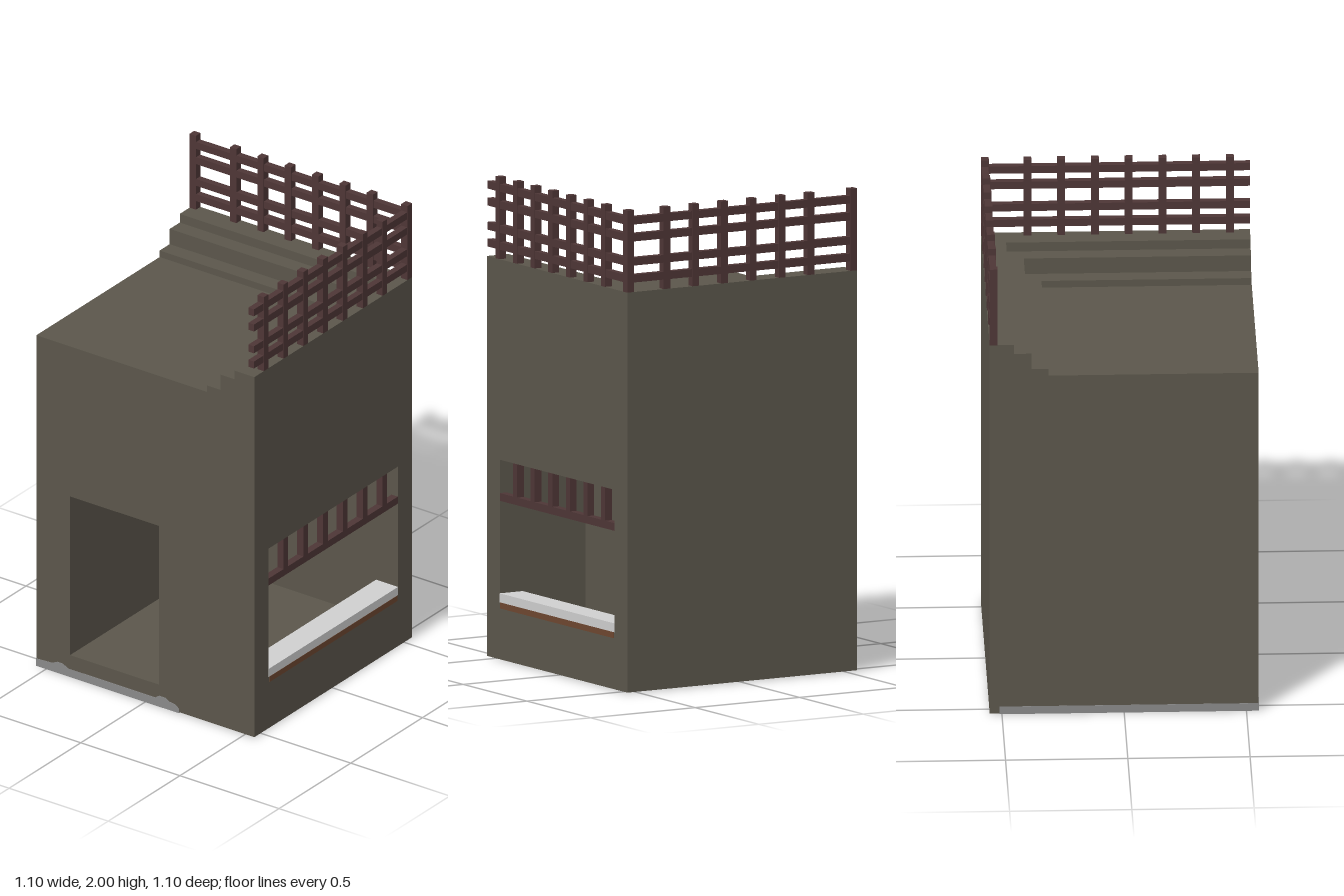
import * as THREE from 'three';

const mat = (name, color) => Object.assign(new THREE.MeshStandardMaterial({ color }), { name });

export function createModel() {
  const model = new THREE.Group();
  const plaster = mat('olive plaster', 0x5b564b);
  const wood = mat('dark red wood', 0x4e3636);
  const white = mat('pale worktop', 0xcfcfcf);
  const brown = mat('brown trim', 0x6e4730);
  const stone = mat('grey stone', 0x898989);

  // Box given by its limits on each axis
  const box = (parent, name, m, [x0, x1], [y0, y1], [z0, z1]) => {
    const mesh = new THREE.Mesh(new THREE.BoxGeometry(x1 - x0, y1 - y0, z1 - z0), m);
    mesh.position.set((x0 + x1) / 2, (y0 + y1) / 2, (z0 + z1) / 2);
    mesh.name = name;
    parent.add(mesh);
  };
  const group = (name) => {
    const g = new THREE.Group();
    g.name = name;
    model.add(g);
    return g;
  };
  const H = 0.55, full = [-H, H];

  // Hollow ground floor with a doorway in front and a serving window at the side
  const walls = group('walls');
  const room = [0.1, 0.83];
  box(walls, 'floor', plaster, full, [0.004, 0.1], full);
  box(walls, 'leftWall', plaster, [-H, -0.38], room, full);
  box(walls, 'backWall', plaster, [-0.38, H], room, [-H, -0.45]);
  box(walls, 'frontWall', plaster, [0.07, H], room, [0.45, H]);
  box(walls, 'partition', plaster, [0.07, 0.14], room, [0.1, 0.45]);
  box(walls, 'windowSillWall', plaster, [0.45, H], [0.1, 0.24], [-0.45, 0.45]);
  box(walls, 'upperStorey', plaster, full, [0.83, 1.52], full);

  // Roof steps rising toward the back and one side
  const steps = group('roofSteps');
  for (const [y0, y1, edge] of [[1.52, 1.55, 0.31], [1.55, 1.62, 0.38], [1.62, 1.66, 0.45]]) {
    box(steps, 'backStep', plaster, full, [y0, y1], [-H, -edge]);
    box(steps, 'sideStep', plaster, [edge, H], [y0, y1], [-edge, H]);
  }

  // Lattice fences on the roof edges
  const fence = group('roofFence');
  const outer = [0.518, H], back = [-H, -0.518], half = 0.016;
  for (const y of [1.715, 1.785, 1.885, 1.955]) {
    box(fence, 'backRail', wood, full, [y - half, y + half], [-0.548, -0.52]);
    box(fence, 'sideRail', wood, [0.52, 0.548], [y - half, y + half], [-0.52, H]);
  }
  for (const x of [-0.534, -0.33, -0.192, -0.054, 0.084, 0.222, 0.36, 0.534])
    box(fence, 'backPost', wood, [x - half, x + half], [1.66, 2], back);
  for (let i = 0; i < 7; i++) {
    const z = -0.36 + i * 0.138;
    box(fence, 'sidePost', wood, outer, [1.66, 2], [z - half, z + half]);
  }

  // Window grille
  const grille = group('windowGrille');
  box(grille, 'grilleRail', wood, outer, [0.66, 0.692], [-0.45, 0.45]);
  for (let i = 0; i < 6; i++) {
    const z = -0.36 + i * 0.138;
    box(grille, 'grilleBar', wood, outer, [0.692, 0.83], [z - half, z + half]);
  }

  // Serving counter
  const counter = group('counter');
  box(counter, 'counterTop', white, [0.44, 0.551], [0.24, 0.277], [-0.45, 0.45]);
  box(counter, 'counterTrim', brown, [0.44, 0.552], [0.215, 0.24], [-0.445, 0.445]);

  // Ceiling panel with an inset underside
  const panel = group('ceilingPanel');
  box(panel, 'panelFrame', white, [0.22, 0.42], [0.8, 0.83], [-0.27, 0.31]);
  box(panel, 'panelInset', brown, [0.25, 0.39], [0.796, 0.8], [-0.24, 0.28]);

  // Ground slab with an uneven front edge
  const edge = new THREE.Shape([
    [-0.551, 0], [0.17, 0], [0.17, 0.02], [0.15, 0.035], [0.12, 0.038], [0.1, 0.05], [0.07, 0.05],
    [0.05, 0.036], [-0.39, 0.036], [-0.415, 0.05], [-0.445, 0.05], [-0.47, 0.038], [-0.551, 0.034],
  ].map(([x, y]) => new THREE.Vector2(x, y)));
  const slab = new THREE.Mesh(new THREE.ExtrudeGeometry(edge, { depth: 1.062, bevelEnabled: false }), stone);
  slab.position.z = -0.51;
  slab.name = 'groundSlab';
  model.add(slab);

  return model;
}
